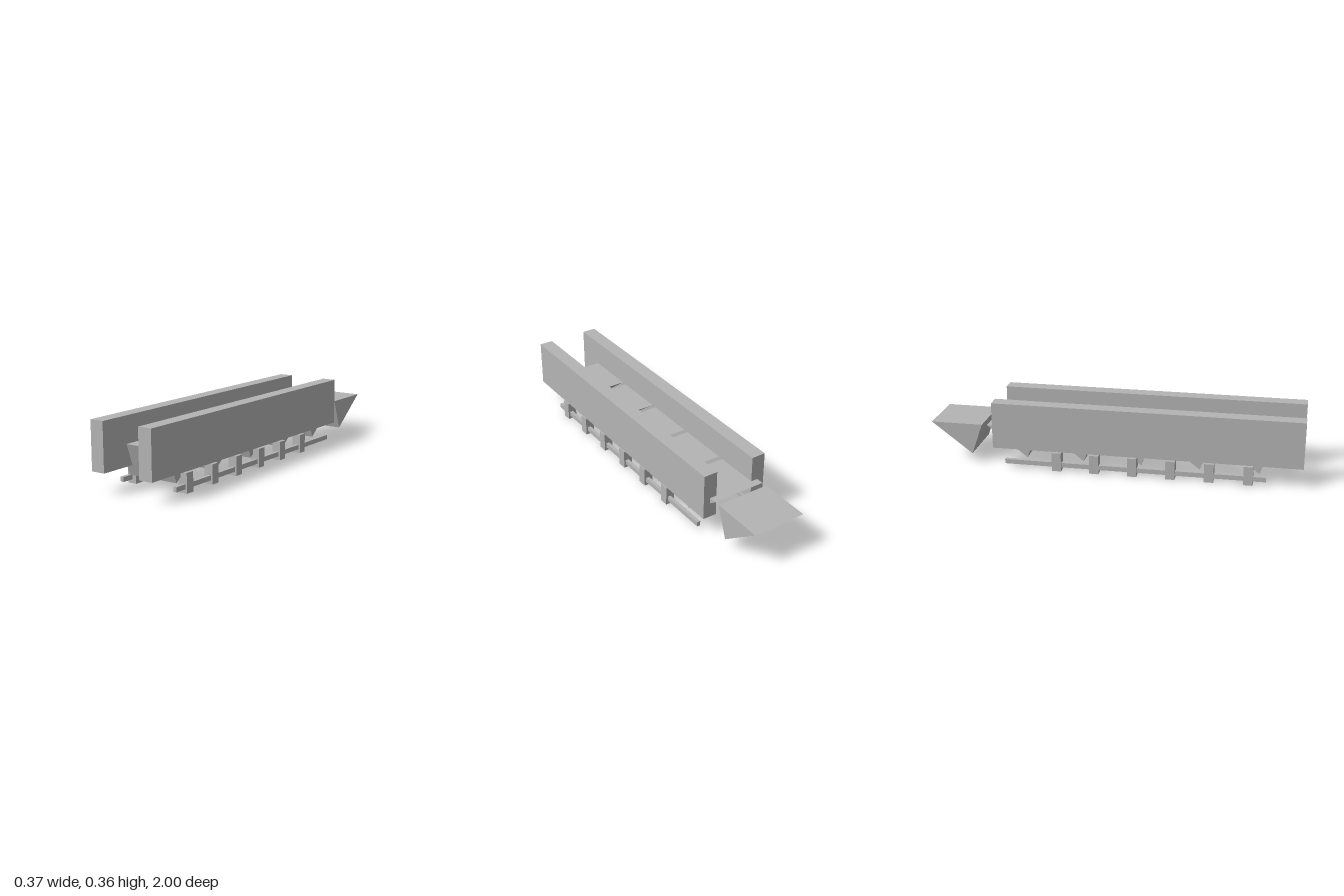
import * as THREE from 'three';

export function createModel() {
  const model = new THREE.Group();
  model.name = 'bucketConveyor';

  const grey = new THREE.MeshStandardMaterial({ color: 0xb4b4b4 });
  grey.name = 'plain grey';

  const add = (name, geometry, x, y, z) => {
    const mesh = new THREE.Mesh(geometry, grey);
    mesh.name = name;
    mesh.position.set(x, y, z);
    model.add(mesh);
  };

  // Triangular bucket: profile in z and y, extruded across the width
  const width = 0.292;
  const profile = new THREE.Shape([
    new THREE.Vector2(0, 0.222),
    new THREE.Vector2(-0.283, 0.222),
    new THREE.Vector2(-0.061, 0.053),
  ]);
  const bucket = new THREE.ExtrudeGeometry(profile, { depth: width, bevelEnabled: false });
  bucket.translate(0, 0, -width / 2);
  bucket.rotateY(-Math.PI / 2);

  // Row of buckets, the last one clear of the side walls
  for (let i = 0; i < 6; i++) add('bucket', bucket, 0, 0, 0.837 - i * 0.3108);

  const wall = new THREE.BoxGeometry(0.076, 0.252, 1.648);
  const rail = new THREE.BoxGeometry(0.019, 0.025, 1.396);
  const post = new THREE.BoxGeometry(0.05, 0.102, 0.05);

  for (const [side, s] of [['left', 1], ['right', -1]]) {
    // Tall side wall
    add(side + 'Wall', wall, s * 0.146, 0.236, 0.176);
    // Thin lower rail threaded through the posts
    add(side + 'Rail', rail, s * 0.165, 0.033, 0.113);
    // Short support posts
    for (let i = 0; i < 6; i++) add(side + 'Post', post, s * 0.159, 0.051, 0.72 - i * 0.2038);
  }

  return model;
}
